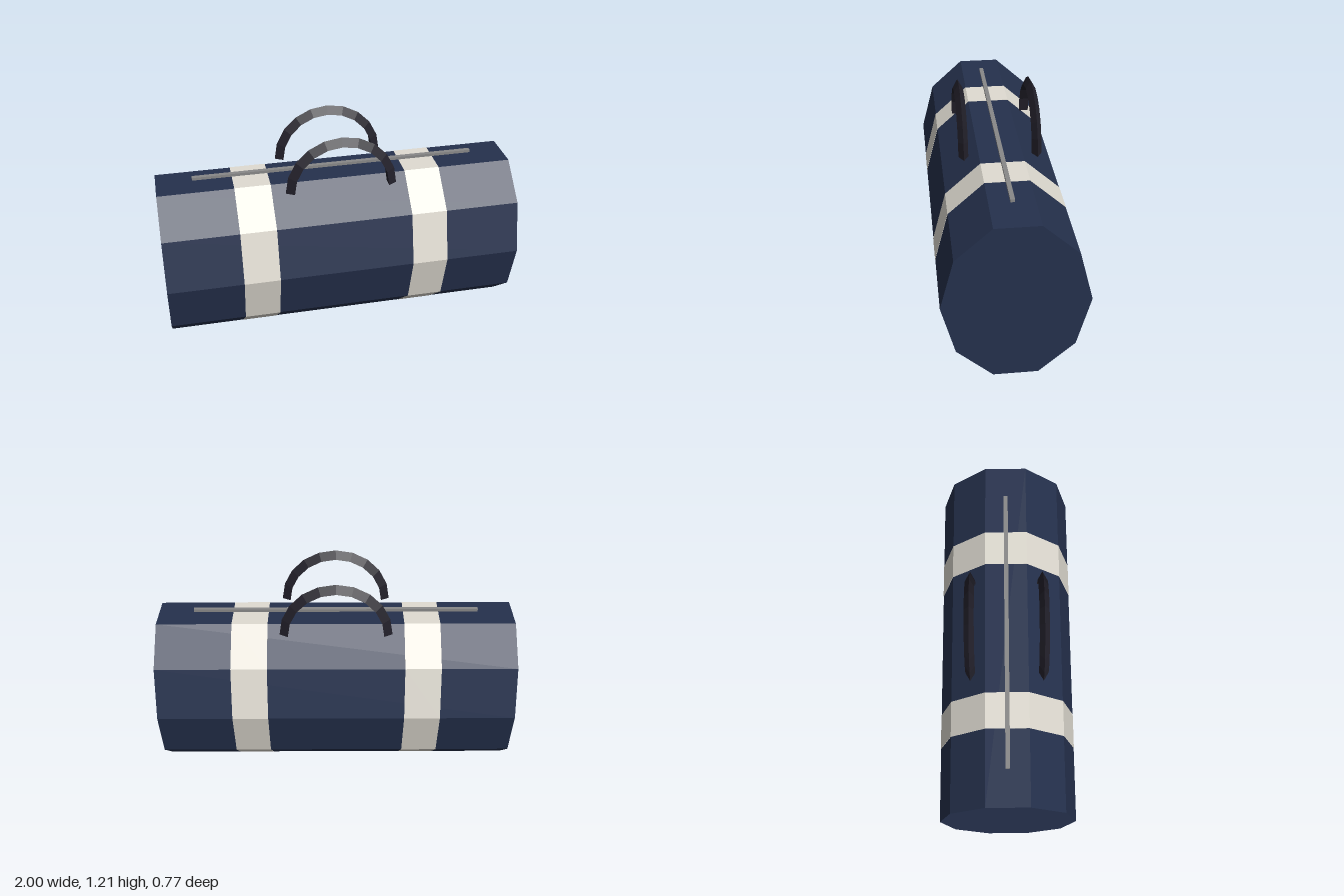
import * as THREE from 'three';

const material = (name, color) =>
  Object.assign(new THREE.MeshStandardMaterial({ color, flatShading: true }), { name });

export function createModel() {
  const bag = new THREE.Group();
  bag.name = 'duffelBag';
  const navy = material('navy fabric', 0x25314d);
  const cream = material('cream strap', 0xe0dcd2);
  const black = material('dark handle', 0x22202a);
  const grey = material('grey zipper', 0x888888);

  const add = (name, geometry, mat, x, y, z) => {
    const mesh = new THREE.Mesh(geometry, mat);
    mesh.name = name;
    mesh.position.set(x, y, z);
    bag.add(mesh);
  };

  // Ten-sided oval drum lying along x
  const drum = (length, ry, rz, open) =>
    new THREE.CylinderGeometry(1, 1, length, 10, 1, open).rotateZ(Math.PI / 2).scale(1, ry, rz);

  const midY = 0.4595;
  add('body', drum(2, 0.481, 0.3835, false), navy, 0, midY, 0);

  // Wrapped straps, closed so their thin rims show
  for (const [side, s] of [['left', 1], ['right', -1]]) {
    add(side + 'Strap', drum(0.2, 0.483, 0.385, false), cream, s * 0.48, midY, 0);
  }

  // Arched carry handles with a three-sided section
  for (const [side, s] of [['front', 1], ['back', -1]]) {
    add(side + 'Handle', new THREE.TorusGeometry(0.279, 0.031, 3, 10, Math.PI), black, 0, 0.9, s * 0.2);
  }

  // Zipper bar above the top panel
  add('zipper', new THREE.BoxGeometry(1.6, 0.016, 0.024), grey, 0, 0.94, 0);
  return bag;
}
